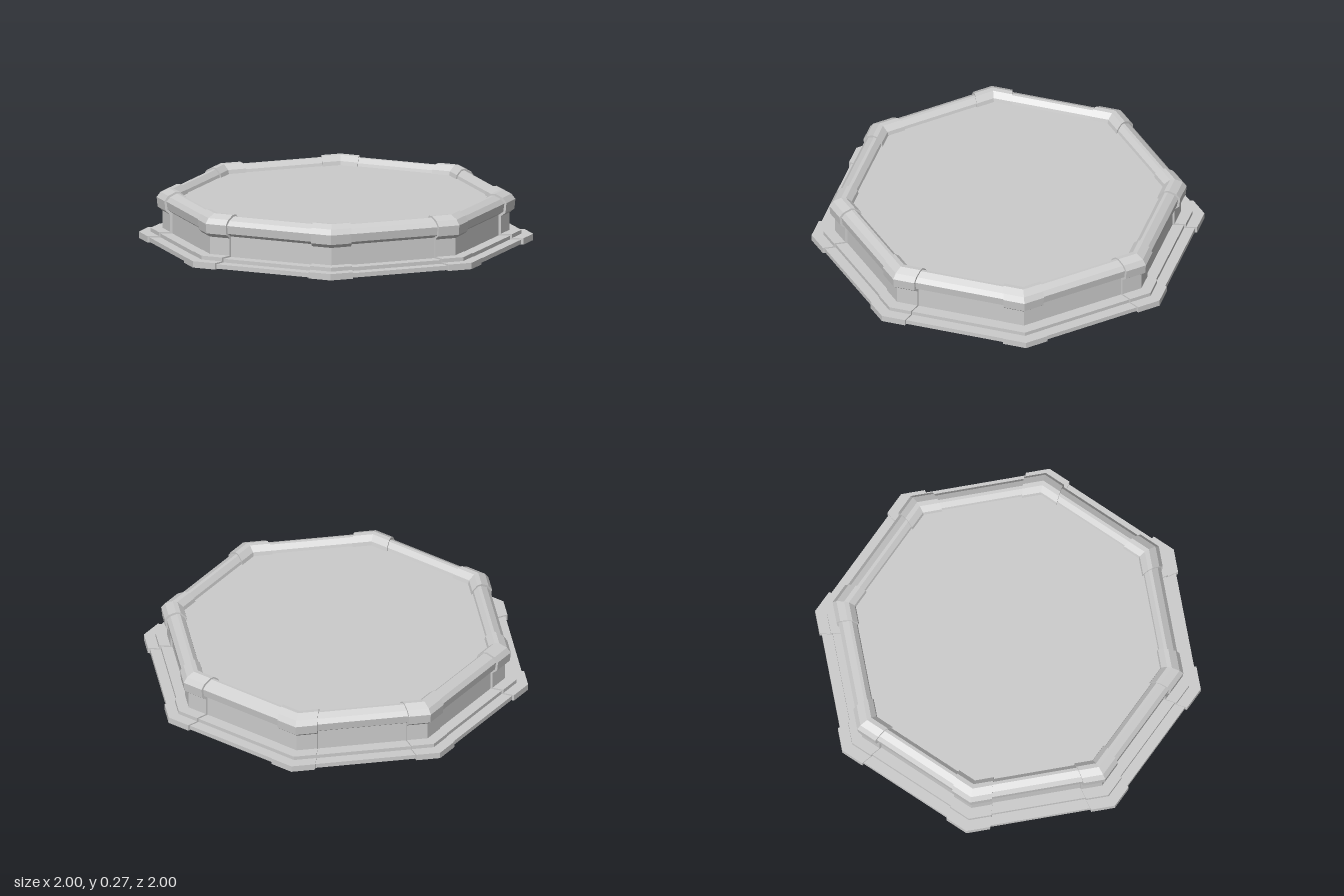
import * as THREE from 'three';

const SIDES = 8;
const STEP = (Math.PI * 2) / SIDES;
const CORNER = 0.16; // share of each side covered by a corner block

const material = new THREE.MeshStandardMaterial({ color: 0xcccccc, flatShading: true });

// Profiles are [corner radius, height], counter-clockwise from the outer bottom.
const cornerProfile = [
  [1.0, 0.012], [1.0, 0.045], [0.94, 0.045], [0.94, 0.065], [0.88, 0.065],
  [0.88, 0.155], [0.905, 0.175], [0.91, 0.225], [0.89, 0.252], [0.85, 0.272],
  [0.825, 0.27], [0.795, 0.245], [0.785, 0.21], [0.785, 0.012],
];
const sideProfile = [
  [0.988, 0.015], [0.988, 0.038], [0.93, 0.038], [0.93, 0.057], [0.868, 0.057],
  [0.868, 0.163], [0.893, 0.18], [0.899, 0.222], [0.88, 0.245], [0.845, 0.263],
  [0.828, 0.262], [0.803, 0.24], [0.793, 0.21], [0.793, 0.015],
];

// Point on the octagon outline; s counts sides, whole numbers are corners.
function onOutline(s, r, y) {
  const i = Math.floor(s);
  const a = new THREE.Vector3(Math.cos(i * STEP) * r, y, Math.sin(i * STEP) * r);
  const b = new THREE.Vector3(Math.cos((i + 1) * STEP) * r, y, Math.sin((i + 1) * STEP) * r);
  return a.lerp(b, s - i);
}

// Sweeps a closed profile along the outline through the given stops, with end caps.
function sweep(profile, stops) {
  const n = profile.length;
  const positions = [];
  const index = [];
  for (const s of stops) {
    for (const [r, y] of profile) positions.push(...onOutline(s, r, y).toArray());
  }
  for (let i = 0; i < stops.length - 1; i++) {
    for (let j = 0; j < n; j++) {
      const a = i * n + j, b = i * n + ((j + 1) % n);
      index.push(a, b, a + n, b, b + n, a + n);
    }
  }
  const last = (stops.length - 1) * n;
  const outline = profile.map(([r, y]) => new THREE.Vector2(r, y));
  for (const [a, b, c] of THREE.ShapeUtils.triangulateShape(outline, [])) {
    index.push(a, c, b, last + a, last + b, last + c);
  }
  const geometry = new THREE.BufferGeometry();
  geometry.setAttribute('position', new THREE.Float32BufferAttribute(positions, 3));
  geometry.setIndex(index);
  const flat = geometry.toNonIndexed();
  flat.computeVertexNormals();
  return flat;
}

// Eight-sided slab with corners on the axes.
function slab(name, radius, bottom, top) {
  const mesh = new THREE.Mesh(
    new THREE.CylinderGeometry(radius, radius, top - bottom, SIDES), material);
  mesh.position.y = (bottom + top) / 2;
  mesh.name = name;
  return mesh;
}

export function createModel() {
  const model = new THREE.Group();
  model.name = 'octagonalBasin';

  // Wall ring: alternating corner blocks and straight runs
  const cornerGeometry = sweep(cornerProfile, [-CORNER, 0, CORNER]);
  const sideGeometry = sweep(sideProfile, [CORNER, 1 - CORNER]);
  for (let i = 0; i < SIDES; i++) {
    const corner = new THREE.Mesh(cornerGeometry, material);
    corner.name = `cornerBlock${i + 1}`;
    const side = new THREE.Mesh(sideGeometry, material);
    side.name = `wallSection${i + 1}`;
    corner.rotation.y = side.rotation.y = i * STEP;
    model.add(corner, side);
  }

  // Foundation under the wall and the filling inside it
  model.add(slab('foundation', 0.875, 0, 0.03));
  model.add(slab('basinFill', 0.8, 0.02, 0.225));
  return model;
}
